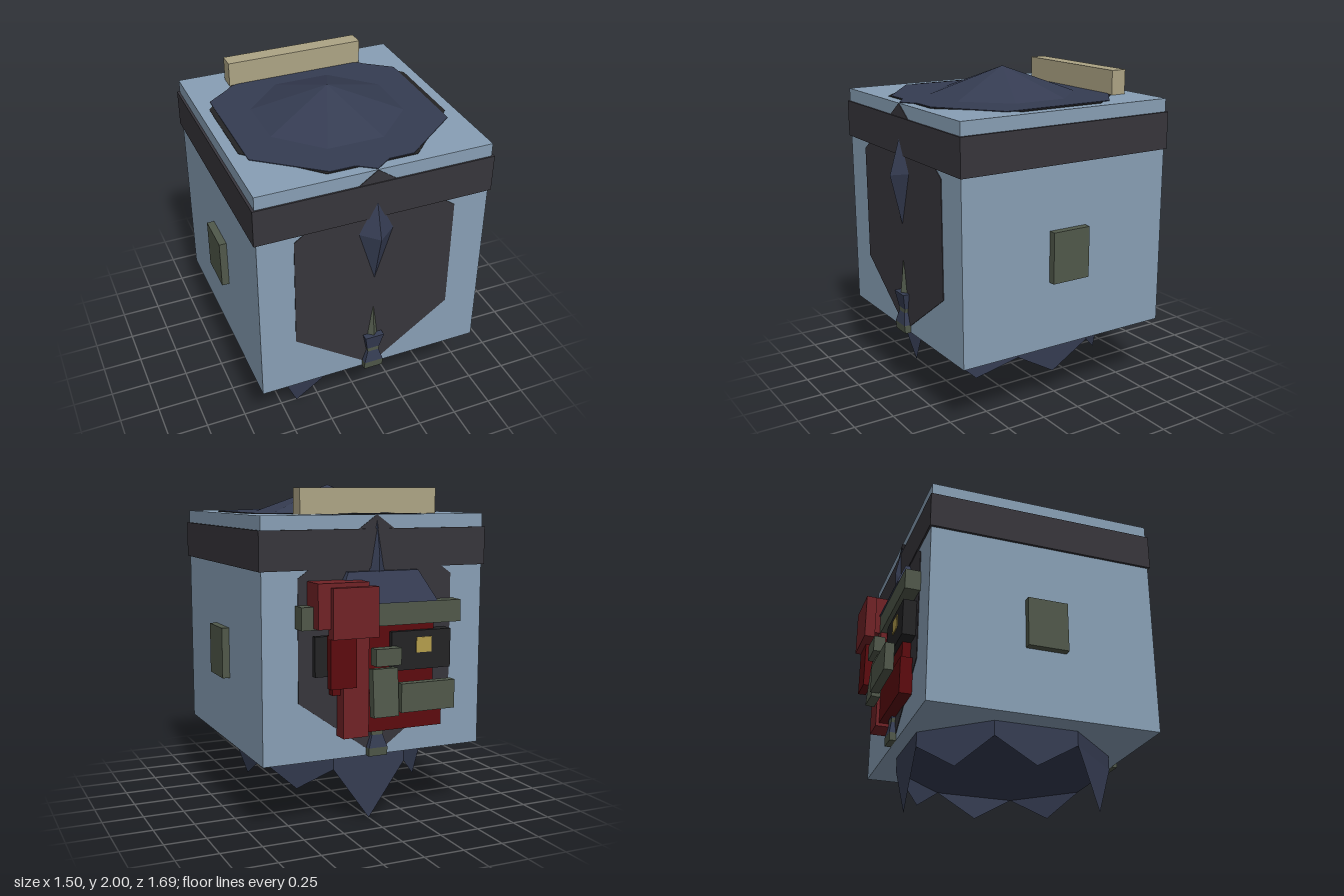
import * as THREE from 'three';

const mat = (name, color, side = THREE.FrontSide) => {
  const m = new THREE.MeshStandardMaterial({ color, side });
  m.name = name;
  return m;
};

export function createModel() {
  const root = new THREE.Group();
  const CZ = 0.0625; // depth centre of the body
  const blue = mat('paleBlue', 0x889fb5);
  const charcoal = mat('charcoal', 0x37353b);
  const navy = mat('navy', 0x353c52, THREE.DoubleSide);
  const tan = mat('tan', 0xada485);
  const green = mat('mossGreen', 0x50584a);
  const red = mat('red', 0x702226);
  const darkRed = mat('darkRed', 0x5c0b0e);
  const black = mat('black', 0x232325);
  const gold = mat('gold', 0xb49d4c);

  const add = (name, geo, m, parent = root) => {
    const mesh = new THREE.Mesh(geo, m);
    mesh.name = name;
    parent.add(mesh);
    return mesh;
  };
  // Box given by its limits on each axis
  const box = (name, m, x0, x1, y0, y1, z0, z1, parent = root) => {
    const mesh = add(name, new THREE.BoxGeometry(x1 - x0, y1 - y0, z1 - z0), m, parent);
    mesh.position.set((x0 + x1) / 2, (y0 + y1) / 2, (z0 + z1) / 2);
    return mesh;
  };
  // Flat-shaded faces from corner points, three per triangle
  const faces = (points) => {
    const g = new THREE.BufferGeometry();
    g.setAttribute('position', new THREE.Float32BufferAttribute(points.flat(), 3));
    g.computeVertexNormals();
    return g;
  };
  // Thin plate mirrored about x = 0, from its +x outline
  const plate = (half, depth) => {
    const mirrored = half.filter((p) => p[0] > 0).reverse().map(([x, y]) => [-x, y]);
    const shape = new THREE.Shape([...half, ...mirrored].map((p) => new THREE.Vector2(...p)));
    return new THREE.ExtrudeGeometry(shape, { depth, bevelEnabled: false });
  };

  // Body and band
  box('body', blue, -0.705, 0.705, 0.42, 1.83, -0.645, 0.77);
  box('band', charcoal, -0.72, 0.72, 1.525, 1.75, -0.655, 0.78);

  // Hexagonal panel and stacked handle on the front and back
  const hex = [[0, 0.42], [0.49, 0.77], [0.49, 1.48], [0, 1.83]];
  const rings = [ // y, half width, reach, material of the piece above
    [0.42, 0.06, 0.038, green], [0.47, 0.06, 0.042, navy], [0.545, 0.035, 0.027, green],
    [0.57, 0.04, 0.027, navy], [0.67, 0.06, 0.044, null],
  ];
  for (const [side, zFace] of [['front', 0.77], ['back', -0.645]]) {
    const g = new THREE.Group();
    g.name = side + 'Panel';
    g.position.z = zFace;
    if (side === 'back') g.rotation.y = Math.PI;
    root.add(g);
    add('hexPanel', plate(hex, 0.004), charcoal, g);
    for (let i = 0; i < rings.length - 1; i++) {
      const [y0, w0, d0, m] = rings[i];
      const [y1, w1, d1] = rings[i + 1];
      const geo = new THREE.BoxGeometry(1, 1, 1);
      const p = geo.attributes.position;
      for (let k = 0; k < p.count; k++) {
        const up = p.getY(k) > 0;
        p.setXYZ(k, Math.sign(p.getX(k)) * (up ? w1 : w0), up ? y1 : y0, p.getZ(k) > 0 ? (up ? d1 : d0) : 0);
      }
      geo.computeVertexNormals();
      add('handleSegment', geo.toNonIndexed(), m, g);
    }
    const tip = [0, 0.88, 0.006], l = [-0.035, 0.67, 0], r = [0.035, 0.67, 0], c = [0, 0.67, 0.03];
    add('handleTip', faces([l, c, tip, c, r, tip]), green, g);
  }

  // Front diamond spike with a central ridge
  const crest = [0, 1.41, 0.845], top = [0, 1.64, 0.775], bot = [0, 1.08, 0.77];
  const dl = [-0.11, 1.43, 0.77], dr = [0.11, 1.43, 0.77];
  add('frontSpike', faces([dl, crest, top, crest, dr, top, bot, crest, dl, bot, dr, crest]), navy);

  // Back fin and sloped hood
  const ft = [0, 1.82, -0.645], fm = [0, 1.6, -0.685], fb = [0, 1.4, -0.68];
  const fl = [-0.05, 1.5, -0.65], fr = [0.05, 1.5, -0.65];
  add('backFin', faces([ft, fm, fl, fm, fb, fl, ft, fr, fm, fm, fr, fb]), navy);
  const hood = new THREE.BoxGeometry(0.64, 0.18, 0.1);
  const hp = hood.attributes.position;
  for (let i = 0; i < hp.count; i++) {
    if (hp.getY(i) > 0) {
      hp.setX(i, hp.getX(i) * 0.7);
      if (hp.getZ(i) < 0) hp.setZ(i, 0.02);
    }
  }
  hood.computeVertexNormals();
  add('backHood', hood.toNonIndexed(), navy).position.set(-0.03, 1.42, -0.7);

  // Roof plates, shallow eight-sided dome and rear beam
  const roofPlate = (name, half, y, m) => {
    const mesh = add(name, plate(half, 0.004), m);
    mesh.rotation.x = -Math.PI / 2;
    mesh.position.set(0, y, CZ);
  };
  roofPlate('roofOctagon', [[0, -0.645], [0.27, -0.645], [0.64, -0.27], [0.64, 0.27], [0.27, 0.69], [0, 0.69]], 1.829, black);
  roofPlate('roofCover', [[0, -0.705], [0.1, -0.635], [0.25, -0.635], [0.61, -0.355], [0.61, 0.355],
    [0.42, 0.5], [0.12, 0.62], [0, 0.705]], 1.832, navy);
  const dome = new THREE.ConeGeometry(0.467, 0.17, 8, 1, true);
  dome.rotateY(Math.PI / 8);
  const flat = dome.toNonIndexed();
  flat.computeVertexNormals();
  add('roofDome', flat, navy).position.set(0, 1.915, CZ);
  box('roofBeam', tan, -0.435, 0.435, 1.83, 1.98, -0.55, -0.45);

  // Side plates
  for (const s of [-1, 1]) box('sidePlate', green, s * 0.7275 - 0.0225, s * 0.7275 + 0.0225, 0.83, 1.14, -0.06, 0.19);

  // Underside octagon with flat pointed teeth hanging from its edges
  const c8 = [[0.235, 0.665], [0.56, 0.31], [0.56, -0.2], [0.235, -0.565],
    [-0.235, -0.565], [-0.56, -0.2], [-0.56, 0.31], [-0.235, 0.665]];
  const tips = [0.18, 0.18, 0.18, 0, 0.18, 0.18, 0, 0.33]; // tip height per edge
  const under = [], teeth = [];
  c8.forEach(([x, z], i) => {
    const [u, v] = c8[(i + 1) % 8];
    const a = [x, 0.33, z], b = [u, 0.33, v], at = [x, 0.425, z], bt = [u, 0.425, v];
    under.push(a, b, bt, a, bt, at, [0, 0.33, 0.05], b, a);
    if (tips[i] < 0.33) teeth.push(a, [(x + u) / 2, tips[i], (z + v) / 2 + (i === 0 || i === 6 ? 0.02 : 0)], b);
  });
  add('undersideOctagon', faces(under), navy);
  add('undersideTeeth', faces(teeth), navy);

  // Machinery on the back
  const gear = new THREE.Group();
  gear.name = 'backMachinery';
  root.add(gear);
  const parts = [
    ['basePanel', darkRed, -0.4, 0.25, 0.58, 0.81, -0.72, -0.64],
    ['backPanel', darkRed, -0.35, 0.3, 0.81, 1.2, -0.7, -0.64],
    ['longLeg', red, 0.09, 0.25, 0.56, 1.2, -0.74, -0.64],
    ['shortLeg', darkRed, 0.2, 0.36, 0.87, 1.17, -0.81, -0.76],
    ['upperBlock', red, 0.125, 0.435, 1.21, 1.465, -0.81, -0.64],
    ['outerBlock', red, 0.08, 0.36, 1.155, 1.44, -0.845, -0.78],
    ['crossBar', green, -0.51, 0.505, 1.2, 1.33, -0.74, -0.64],
    ['screen', black, -0.45, -0.06, 0.93, 1.16, -0.73, -0.64],
    ['sideScreen', black, 0.27, 0.42, 0.93, 1.16, -0.73, -0.69],
    ['light', gold, -0.32, -0.22, 1.03, 1.12, -0.736, -0.728],
    ['lowerBar', green, -0.43, -0.08, 0.7, 0.87, -0.82, -0.765],
    ['joint', green, -0.08, 0.08, 0.98, 1.08, -0.815, -0.745],
  ];
  for (const [name, m, ...limits] of parts) box(name, m, ...limits, gear);
  const arm = box('arm', green, -0.07, 0.09, 0.68, 0.96, -0.8, -0.745, gear);
  arm.rotation.x = 0.08;
  return root;
}
